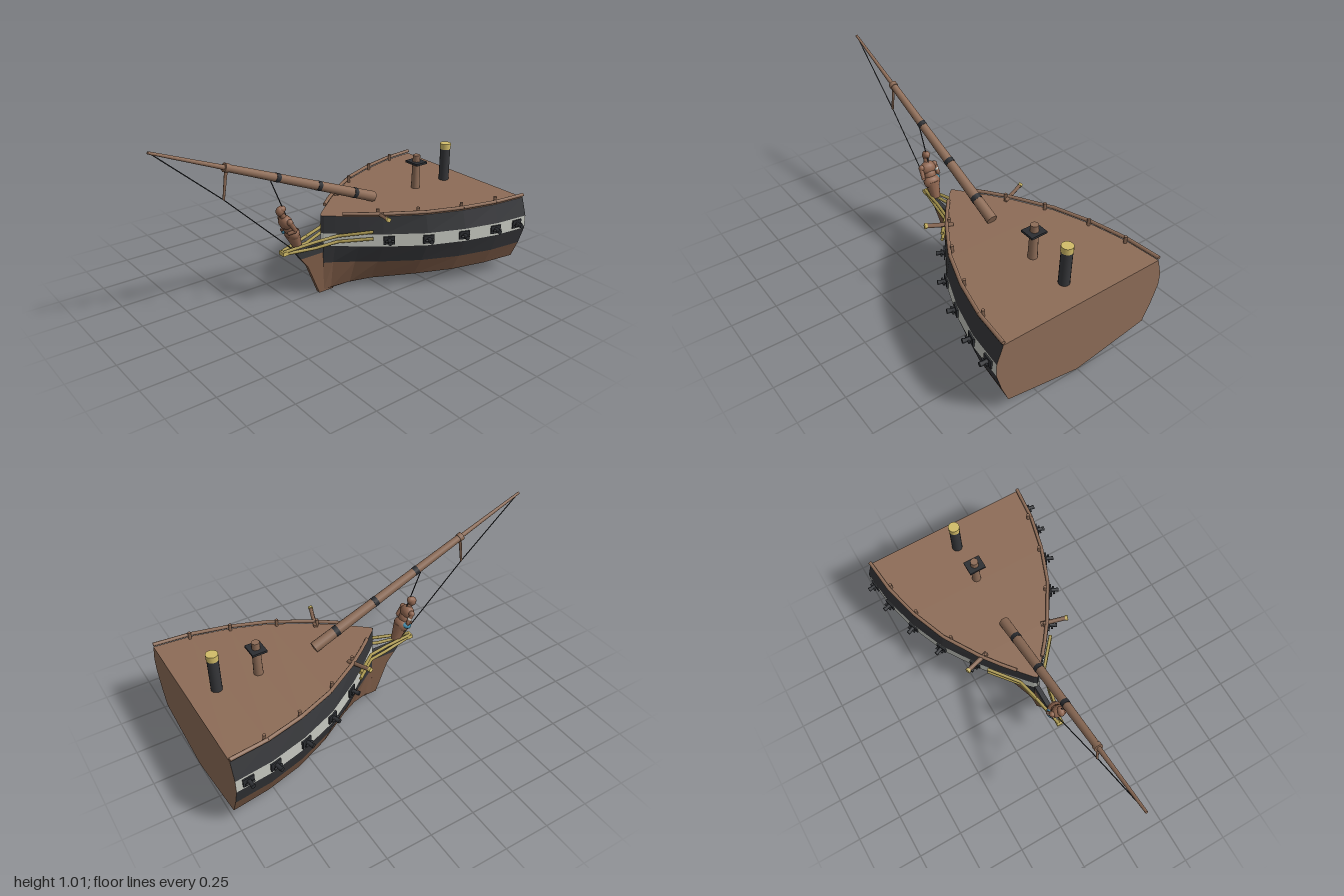
import * as THREE from 'three';

const mat = (name, color, double) => {
  const m = new THREE.MeshStandardMaterial({ color });
  m.name = name;
  if (double) m.side = THREE.DoubleSide;
  return m;
};

export function createModel() {
  const root = new THREE.Group();
  root.name = 'shipBow';
  const wood = mat('wood', 0x8d6c57);
  const planks = mat('hullBrown', 0x7b5a46);
  const black = mat('blackPaint', 0x36373a);
  const iron = mat('iron', 0x2b2d31);
  const white = mat('whitePaint', 0xc6c8c0);
  const gold = mat('gold', 0xa8964f);
  const brass = mat('brass', 0xd2bc68);
  const carved = mat('carvedWood', 0x8f6650);
  const blue = mat('blueCloth', 0x3f87a6);

  const V = (x, y, z) => new THREE.Vector3(x, y, z);
  const add = (name, geo, m, x = 0, y = 0, z = 0, parent = root) => {
    const mesh = new THREE.Mesh(geo, m);
    mesh.name = name;
    mesh.position.set(x, y, z);
    parent.add(mesh);
    return mesh;
  };
  // Tapered round bar between two points
  const rod = (name, a, b, r0, r1, m, sides = 8, parent = root) => {
    const d = b.clone().sub(a);
    const mesh = add(name, new THREE.CylinderGeometry(r1, r0, d.length(), sides), m, 0, 0, 0, parent);
    mesh.position.copy(a).addScaledVector(d, 0.5);
    mesh.quaternion.setFromUnitVectors(V(0, 1, 0), d.normalize());
    return mesh;
  };
  const ball = (name, x, y, z, sx, sy, sz, m, parent, tilt = 0) => {
    const mesh = add(name, new THREE.SphereGeometry(1, 12, 9), m, x, y, z, parent);
    mesh.scale.set(sx, sy, sz);
    mesh.rotation.x = tilt;
    return mesh;
  };

  // Hull stations from stern to bow, with half-widths for each level
  const Z = [-1, -0.8, -0.6, -0.4, -0.2, -0.1, 0, 0.045, 0.057];
  const wide = [0.507, 0.485, 0.432, 0.35, 0.22, 0.142, 0.056, 0.016, 0];
  const lowW = [0.473, 0.45, 0.395, 0.308, 0.18, 0.105, 0.038, 0.014, 0];
  const topW = [0.475, 0.455, 0.406, 0.33, 0.21, 0.136, 0.054, 0.016, 0];
  const chineW = [0.43, 0.405, 0.35, 0.255, 0.12, 0.06, 0.02, 0.01, 0];
  const chineY = [0.076, 0.078, 0.076, 0.07, 0.052, 0.035, 0.015, 0.008, 0.004];
  const row = (w, y) => Z.map((z, i) => V(w[i], Array.isArray(y) ? y[i] : y, z));
  const flip = (r) => r.map((p) => V(-p.x, p.y, p.z));
  const rows = [row(Z.map(() => 0), 0), row(chineW, chineY), row(lowW, 0.175),
    row(wide, 0.28), row(wide, 0.352), row(topW, 0.453)];

  // Faceted strip between two rows of points
  const strip = (a, b, out = []) => {
    for (let i = 0; i < a.length - 1; i++) out.push(a[i], b[i], a[i + 1], a[i + 1], b[i], b[i + 1]);
    return out;
  };
  const faceted = (pts) => {
    const g = new THREE.BufferGeometry().setFromPoints(pts);
    g.computeVertexNormals();
    return g;
  };
  [['bottom', planks], ['lowerHull', planks], ['lowerBlackBand', black],
    ['whiteBand', white], ['upperBlackBand', black]].forEach(([name, m], i) => {
    const pts = strip(rows[i], rows[i + 1]);
    strip(flip(rows[i + 1]), flip(rows[i]), pts);
    add(name, faceted(pts), m);
  });
  add('deck', faceted(strip(rows[5], flip(rows[5]))), wood);

  // Flat face closing the hull at the back
  const half = rows.map((r) => new THREE.Vector2(r[0].x, r[0].y));
  const outline = [...half, ...half.slice(1).reverse().map((p) => new THREE.Vector2(-p.x, p.y))];
  add('transom', new THREE.ShapeGeometry(new THREE.Shape(outline)).rotateY(Math.PI), wood, 0, 0, -1);

  // Stem in the centre plane, given as z, y pairs
  const slab = (name, pairs, t, m) => {
    const shape = new THREE.Shape(pairs.map(([z, y]) => new THREE.Vector2(z, y)));
    const g = new THREE.ExtrudeGeometry(shape, { depth: t, bevelEnabled: false });
    add(name, g.translate(0, 0, -t / 2).rotateY(-Math.PI / 2), m);
  };
  slab('stem', [[-0.02, 0], [0.073, 0], [0.148, 0.18], [0.195, 0.24], [0.03, 0.24]], 0.024, planks);
  slab('stemHead', [[0.03, 0.24], [0.195, 0.24], [0.235, 0.296], [0.03, 0.296]], 0.026, black);

  const sample = (w, z) => {
    let i = 0;
    while (i < Z.length - 2 && z > Z[i + 1]) i++;
    const slope = (w[i + 1] - w[i]) / (Z[i + 1] - Z[i]);
    return { x: w[i] + slope * (z - Z[i]), slope };
  };

  for (const s of [1, -1]) {
    // Gun ports and guns square to the planking
    for (const z of [-0.225, -0.405, -0.595, -0.785, -0.935]) {
      const { x, slope } = sample(wide, z);
      const gun = new THREE.Group();
      gun.name = 'gun';
      gun.position.set(s * x, 0.318, z);
      gun.rotation.y = s > 0 ? Math.atan(slope) : Math.PI - Math.atan(slope);
      root.add(gun);
      add('port', new THREE.BoxGeometry(0.016, 0.046, 0.06), iron, 0, 0, 0, gun);
      rod('barrel', V(-0.01, 0, 0), V(0.046, 0, 0), 0.014, 0.009, iron, 10, gun);
      rod('muzzle', V(0.036, 0, 0), V(0.048, 0, 0), 0.012, 0.012, iron, 10, gun);
      rod('trunnion', V(0.02, 0, -0.024), V(0.02, 0, 0.024), 0.006, 0.006, iron, 6, gun);
    }
    // Deck rail and its posts
    const railZ = [-1, -0.9, -0.8, -0.7, -0.6, -0.5, -0.4, -0.3, -0.2, -0.1, -0.03];
    const rail = railZ.map((z) => V(s * sample(topW, z).x, 0.468, z));
    for (let i = 0; i < rail.length - 1; i++) rod('rail', rail[i], rail[i + 1], 0.01, 0.01, wood);
    for (const z of [-0.81, -0.6, -0.37, -0.185]) {
      const x = s * (sample(topW, z).x - 0.016);
      rod('railPost', V(x, 0.44, z), V(x, 0.492, z), 0.009, 0.009, wood);
    }
    // Anchor beam with brass end
    const inner = V(s * 0.17, 0.458, -0.2), outer = V(s * 0.298, 0.478, -0.157);
    rod('anchorBeam', inner, outer, 0.013, 0.012, wood, 4);
    rod('anchorBeamCap', outer, V(s * 0.312, 0.48, -0.152), 0.015, 0.015, brass, 4);
    // Gilded head rails sweeping to the stem
    const heads = [
      [V(s * 0.2, 0.375, -0.145), V(s * 0.075, 0.345, 0), V(s * 0.045, 0.333, 0.12), V(s * 0.008, 0.31, 0.3)],
      [V(s * 0.2, 0.335, -0.145), V(s * 0.075, 0.312, 0), V(s * 0.042, 0.296, 0.12), V(s * 0.008, 0.298, 0.29)],
    ];
    for (const p of heads) {
      for (let i = 0; i < 3; i++) rod('headRail', p[i], p[i + 1], 0.009, 0.009, gold);
    }
  }
  add('headRailEnd', new THREE.BoxGeometry(0.04, 0.022, 0.03), brass, 0, 0.303, 0.295);

  // Bowsprit, jib boom and iron bands along one sloping line
  const along = (z) => V(0, 0.475 + (z + 0.305) * 0.404, z);
  rod('bowsprit', along(-0.305), along(0.615), 0.03, 0.019, wood, 14);
  rod('jibBoom', along(0.58), V(0, 1.0, 0.998), 0.013, 0.007, wood, 10);
  rod('bowspritCap', along(0.6), along(0.622), 0.023, 0.023, wood, 14);
  for (const z of [-0.17, 0.07, 0.325]) {
    const r = 0.031 - (z + 0.305) * 0.011;
    rod('ironBand', along(z - 0.012), along(z + 0.012), r, r, iron, 14);
  }
  // Strut and stays under the bowsprit
  const strut = V(0, 0.685, 0.632);
  rod('strut', along(0.61), strut, 0.009, 0.006, wood);
  rod('outerStay', V(0, 1, 0.995), strut, 0.003, 0.003, iron, 5);
  rod('lowerStay', strut, V(0, 0.295, 0.225), 0.003, 0.003, iron, 5);
  rod('innerStay', along(0.375), V(0, 0.33, 0.2), 0.003, 0.003, iron, 5);

  // Mast stump with platform
  rod('mast', V(0, 0.45, -0.625), V(0, 0.65, -0.625), 0.025, 0.021, wood, 14);
  add('mastPlatform', new THREE.BoxGeometry(0.094, 0.012, 0.08), iron, 0, 0.607, -0.625);
  // Funnel
  rod('funnel', V(0, 0.45, -0.852), V(0, 0.645, -0.852), 0.029, 0.029, black, 16);
  rod('funnelTop', V(0, 0.642, -0.852), V(0, 0.675, -0.852), 0.031, 0.031, brass, 16);

  // Carved figure leaning forward over the stem
  const fig = new THREE.Group();
  fig.name = 'figurehead';
  root.add(fig);
  rod('skirt', V(0, 0.315, 0.205), V(0, 0.405, 0.242), 0.024, 0.042, carved, 12, fig);
  ball('hips', 0, 0.405, 0.243, 0.05, 0.04, 0.037, carved, fig, 0.3);
  ball('waist', 0, 0.44, 0.262, 0.036, 0.04, 0.03, carved, fig, 0.3);
  ball('chest', 0, 0.475, 0.28, 0.046, 0.04, 0.034, carved, fig, 0.3);
  rod('neck', V(0, 0.49, 0.285), V(0, 0.53, 0.302), 0.018, 0.014, carved, 10, fig);
  ball('head', -0.006, 0.54, 0.307, 0.021, 0.027, 0.024, carved, fig);
  ball('hair', -0.004, 0.55, 0.298, 0.02, 0.02, 0.022, carved, fig);
  for (const s of [1, -1]) {
    ball('shoulder', s * 0.042, 0.486, 0.28, 0.017, 0.018, 0.017, carved, fig);
    rod('upperArm', V(s * 0.045, 0.484, 0.28), V(s * 0.05, 0.435, 0.25), 0.013, 0.011, carved, 8, fig);
    rod('forearm', V(s * 0.05, 0.435, 0.25), V(s * 0.03, 0.42, 0.285), 0.011, 0.009, carved, 8, fig);
  }
  ball('cloth', -0.032, 0.413, 0.255, 0.024, 0.019, 0.03, blue, fig, 0.4);
  ball('sleeve', -0.047, 0.46, 0.266, 0.013, 0.013, 0.014, white, fig);
  return root;
}
